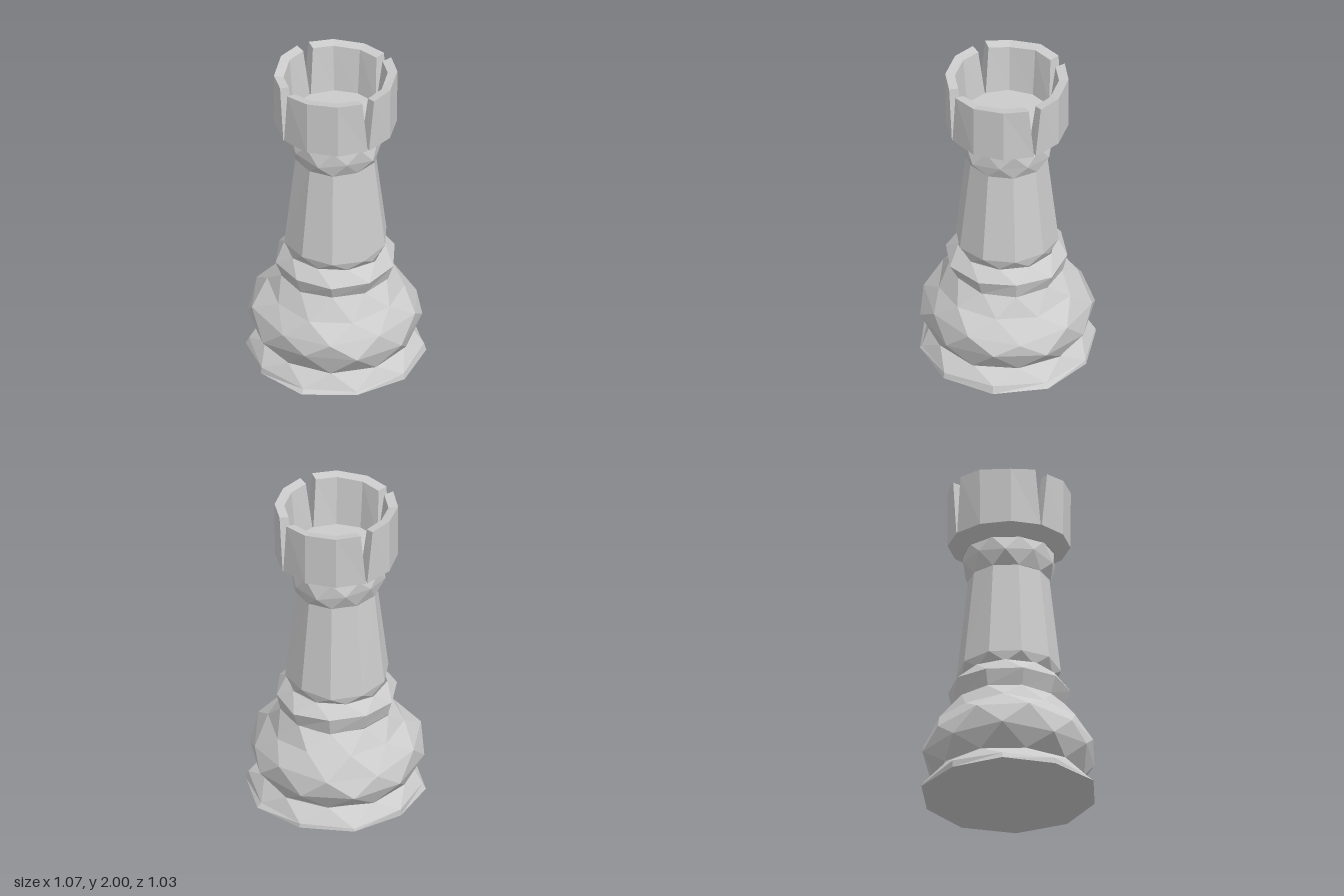
import * as THREE from 'three';

const material = new THREE.MeshStandardMaterial({ color: 0xcccccc, flatShading: true });

// Repeatable value in -1..1 for the hand-cut irregularity
const wobble = (i, j) => {
  const s = Math.sin(i * 12.9898 + j * 78.233 + 1.7) * 43758.5453;
  return (s - Math.floor(s)) * 2 - 1;
};

const polar = (radius, y, angle) =>
  new THREE.Vector3(radius * Math.cos(angle), y, radius * Math.sin(angle));

// Joins closed rings of equal point count with flat triangles
function loft(name, rings) {
  const points = [];
  const triangle = (a, b, c) => {
    const area = b.clone().sub(a).cross(c.clone().sub(a)).length();
    if (area > 1e-7) points.push(a, b, c);
  };
  for (let j = 0; j < rings.length - 1; j++) {
    const n = rings[j].length;
    for (let k = 0; k < n; k++) {
      const a = rings[j][k], b = rings[j][(k + 1) % n];
      const c = rings[j + 1][k], d = rings[j + 1][(k + 1) % n];
      triangle(a, c, b);
      triangle(b, c, d);
    }
  }
  const geometry = new THREE.BufferGeometry().setFromPoints(points);
  geometry.computeVertexNormals();
  const mesh = new THREE.Mesh(geometry, material);
  mesh.name = name;
  return mesh;
}

// Rows are [radius, y, twist in half sides, radius wobble, height wobble]
function turned(name, sides, rows) {
  return loft(name, rows.map(([r, y, twist, dr, dy], j) =>
    Array.from({ length: sides }, (_, k) => polar(
      r + dr * wobble(k, j + y),
      y + dy * wobble(k + 7, j + y),
      ((k + twist / 2) / sides) * Math.PI * 2
    ))
  ));
}

// One battlement: a wall section swept over a quarter turn, with slanted ends
function battlement(index) {
  const start = index * Math.PI / 2;
  const steps = 3;
  const section = (i) => {
    const base = start + (i / steps) * Math.PI / 2;
    const end = i === 0 ? 1 : i === steps ? -1 : 0;
    const lower = base + end * 0.012, upper = base + end * 0.11;
    const lift = 0.01 * wobble(i, index);
    return [
      polar(0.285, 1.67, lower),
      polar(0.312, 1.98 + lift, upper),
      polar(0.37, 1.99 + lift, upper),
      polar(0.368, 1.64, lower),
    ];
  };
  const sections = Array.from({ length: steps + 1 }, (_, i) => section(i));
  const cap = (ring) => {
    const middle = ring.reduce((sum, p) => sum.add(p), new THREE.Vector3()).multiplyScalar(0.25);
    return ring.map(() => middle);
  };
  return loft('battlement', [cap(sections[0]), ...sections, cap(sections[steps])]);
}

export function createModel() {
  const model = new THREE.Group();
  model.name = 'rook';

  // Flared foot with a flat underside
  model.add(turned('foot', 10, [
    [0, 0, 0, 0, 0],
    [0.535, 0, 0, 0.012, 0],
    [0.525, 0.03, 0, 0.012, 0.02],
    [0.445, 0.115, 1, 0.01, 0],
  ]));

  // Rounded, faceted belly
  model.add(turned('belly', 10, [
    [0.445, 0.115, 1, 0.01, 0],
    [0.515, 0.235, 2, 0.02, 0.03],
    [0.5, 0.35, 3, 0.018, 0.025],
    [0.42, 0.465, 4, 0.015, 0.02],
    [0.335, 0.58, 5, 0.008, 0.01],
  ]));

  // Projecting ring under the shaft
  model.add(turned('lowerCollar', 10, [
    [0.335, 0.575, 5, 0.008, 0.01],
    [0.375, 0.68, 5, 0.012, 0.01],
    [0.3, 0.755, 6, 0.008, 0],
  ]));

  // Tapering shaft
  model.add(turned('shaft', 10, [
    [0.285, 0.75, 6, 0.006, 0],
    [0.315, 0.81, 7, 0.006, 0.015],
    [0.248, 1.41, 7, 0.006, 0],
  ]));

  // Neck ring below the crown
  model.add(turned('upperCollar', 10, [
    [0.248, 1.41, 7, 0.006, 0],
    [0.285, 1.5, 8, 0.012, 0.02],
    [0.275, 1.59, 9, 0.006, 0],
  ]));

  // Crown underside, rim and sunken floor
  model.add(turned('crownBase', 12, [
    [0, 1.58, 0, 0, 0],
    [0.28, 1.582, 0, 0, 0],
    [0.368, 1.64, 0, 0, 0],
    [0.285, 1.67, 0, 0, 0],
    [0, 1.67, 0, 0, 0],
  ]));

  // Four battlements with narrow slots between them
  const crown = new THREE.Group();
  crown.name = 'crown';
  for (let i = 0; i < 4; i++) crown.add(battlement(i));
  model.add(crown);

  return model;
}
